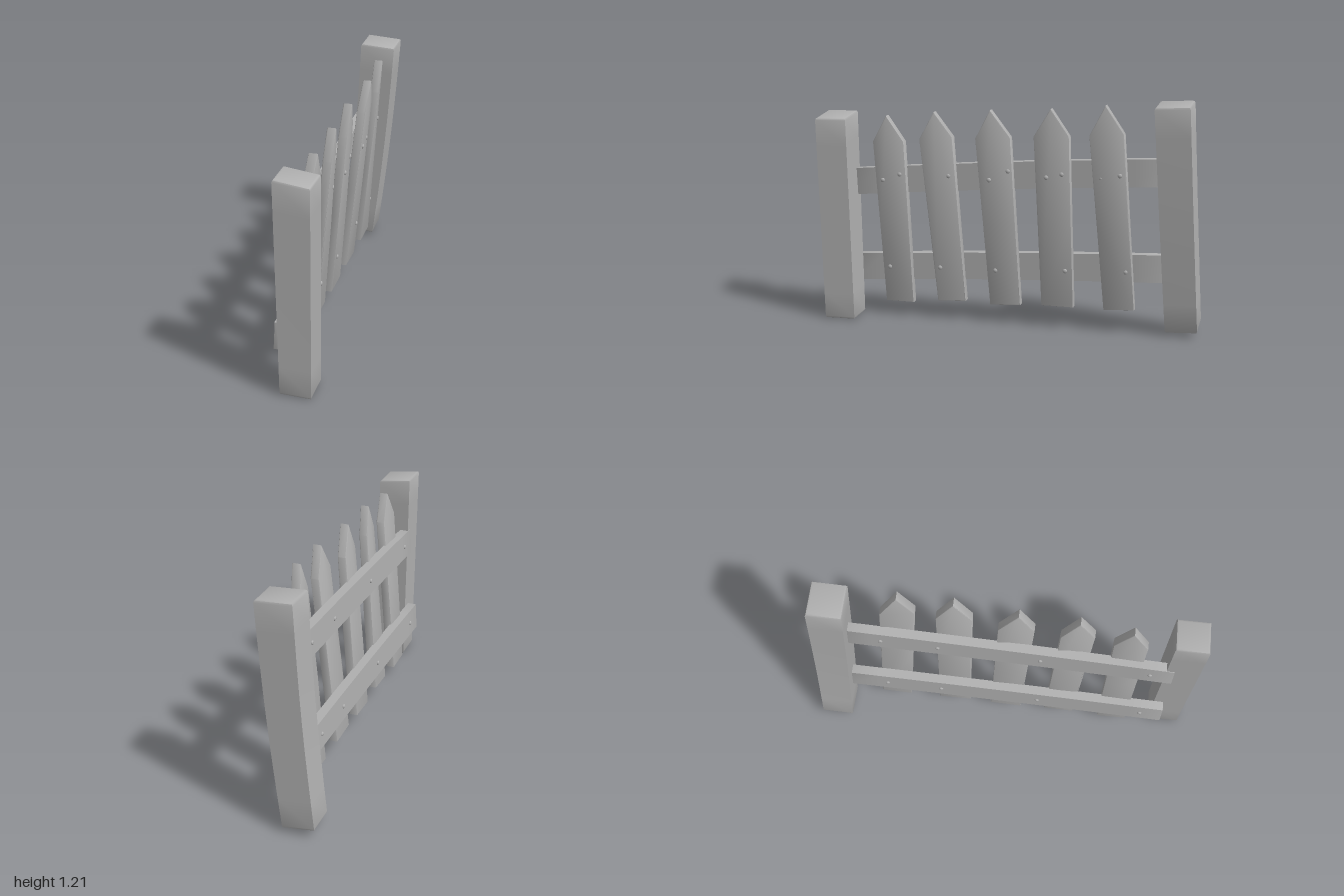
import * as THREE from 'three';
import { toCreasedNormals } from 'three/addons/utils/BufferGeometryUtils.js';

const lerp = THREE.MathUtils.lerp;

// Bevelled extrusion of an outline, with every vertex then moved by a rule.
function warpedBoard(outline, depth, bevel, steps, rule) {
  const shape = new THREE.Shape(outline.map(([a, b]) => new THREE.Vector2(a, b)));
  const geo = new THREE.ExtrudeGeometry(shape, {
    depth: depth - 2 * bevel, steps, bevelEnabled: true,
    bevelSize: bevel, bevelThickness: bevel, bevelOffset: -bevel, bevelSegments: 2,
  });
  geo.translate(0, 0, bevel);
  const p = geo.attributes.position;
  for (let i = 0; i < p.count; i++) p.setXYZ(i, ...rule(p.getX(i), p.getY(i), p.getZ(i)));
  return toCreasedNormals(geo, 0.7);
}

const rect = (w, h) => [[-w / 2, -h / 2], [w / 2, -h / 2], [w / 2, h / 2], [-w / 2, h / 2]];

export function createModel() {
  const model = new THREE.Group();
  const grey = new THREE.MeshStandardMaterial({ color: 0xb0b0b0 });
  const add = (name, geo) => {
    const mesh = new THREE.Mesh(geo, grey);
    mesh.name = name;
    model.add(mesh);
    return mesh;
  };

  // Leaning posts: [bottom, top] values for centre, width and end tilt
  const posts = [
    { name: 'frontPost', y: [0.005, 1.098], x: [0.078, 0.078], z: [0.897, 0.917],
      w: [0.155, 0.175], d: [0.165, 0.168], tilt: [-0.03, -0.14], bow: 0 },
    { name: 'backPost', y: [0.034, 1.203], x: [-0.082, 0.033], z: [-0.912, -0.854],
      w: [0.165, 0.187], d: [0.165, 0.175], tilt: [-0.14, -0.08], bow: 0.01 },
  ];
  for (const q of posts) {
    add(q.name, warpedBoard(rect(1, 1).map(([a, b]) => [a * 0.17, b * 0.17]), 1.1, 0.012, 8, (a, b, c) => {
      const t = c / 1.1;
      const at = (k) => lerp(q[k][0], q[k][1], t);
      return [
        at('x') + (a / 0.17) * at('w') + q.bow * Math.sin(Math.PI * t),
        at('y') + a * at('tilt') + b * (q.z[1] - q.z[0]) * 0.9,
        at('z') - (b / 0.17) * at('d'),
      ];
    }));
  }

  // Sloping rails, running from the back post to the front post
  const rails = [
    { name: 'lowerRail', x: -0.034, y: [0.352, 0.256], h: 0.147 },
    { name: 'upperRail', x: 0.01, y: [0.856, 0.735], h: 0.143 },
  ];
  const railY = (r, z) => {
    const t = (z + 0.8) / 1.63;
    return lerp(r.y[0], r.y[1], t) + 0.008 * Math.sin(Math.PI * t);
  };
  for (const r of rails) {
    add(r.name, warpedBoard(rect(0.048, r.h), 1.7, 0.004, 10, (a, b, c) => {
      const z = c - 0.83;
      return [r.x + a + b * 0.06, railY(r, z) + b, z];
    }));
  }

  // Nail heads
  const nailGeo = new THREE.SphereGeometry(0.012, 8, 6);
  const nail = (name, x, y, z) => {
    const mesh = add(name, nailGeo);
    mesh.scale.x = 0.6;
    mesh.position.set(x, y, z);
  };
  for (const r of rails)
    for (const z of [0.75, 0.19, -0.33, -0.62]) nail('railNail', r.x - 0.025, railY(r, z), z);

  // Pointed pickets: outline corners as [z, y], plus nail places as [z, y]
  const pickets = [
    { tip: [0.635, 1.1], left: [0.715, 0.96], right: [0.545, 0.965], footL: [0.685, 0.08], footR: [0.53, 0.08],
      twist: 0, shift: -0.014, nails: [[0.67, 0.755], [0.575, 0.79], [0.655, 0.275]] },
    { tip: [0.37, 1.13], left: [0.45, 0.985], right: [0.28, 1.0], footL: [0.39, 0.1], footR: [0.235, 0.11],
      twist: 0.15, shift: -0.004, nails: [[0.305, 0.795], [0.37, 0.29]] },
    { tip: [0.07, 1.15], left: [0.15, 1.0], right: [-0.03, 1.01], footL: [0.1, 0.1], footR: [-0.065, 0.11],
      twist: 0.1, shift: -0.006, nails: [[0.085, 0.785], [-0.015, 0.835], [0.065, 0.295]] },
    { tip: [-0.25, 1.17], left: [-0.16, 1.025], right: [-0.34, 1.03], footL: [-0.18, 0.12], footR: [-0.35, 0.12],
      twist: 0.06, shift: 0.008, nails: [[-0.22, 0.815], [-0.3, 0.835], [-0.31, 0.32]] },
    { tip: [-0.525, 1.195], left: [-0.445, 1.04], right: [-0.615, 1.05], footL: [-0.51, 0.12], footR: [-0.67, 0.13],
      twist: 0.16, shift: 0, nails: [[-0.5, 0.825], [-0.595, 0.84], [-0.625, 0.335]] },
  ];
  const thick = 0.046;
  const mid = (p, q) => [(p[0] + q[0]) / 2, (p[1] + q[1]) / 2];
  for (const k of pickets) {
    const backX = (y, z) => {
      const centre = lerp(mid(k.footL, k.footR)[0], k.tip[0], y / 1.1);
      return -0.045 + 0.1 * y + k.shift * y + k.twist * y * y * (z - centre);
    };
    const outline = [k.footL, k.footR, mid(k.footR, k.right), k.right, k.tip, k.left, mid(k.left, k.footL)];
    add('picket', warpedBoard(outline.map(([z, y]) => [-z, y]), thick, 0.005, 1,
      (a, b, c) => [backX(b, -a) + c, b, -a]));
    for (const [z, y] of k.nails) nail('picketNail', backX(y, z) + thick, y, z);
  }
  return model;
}
